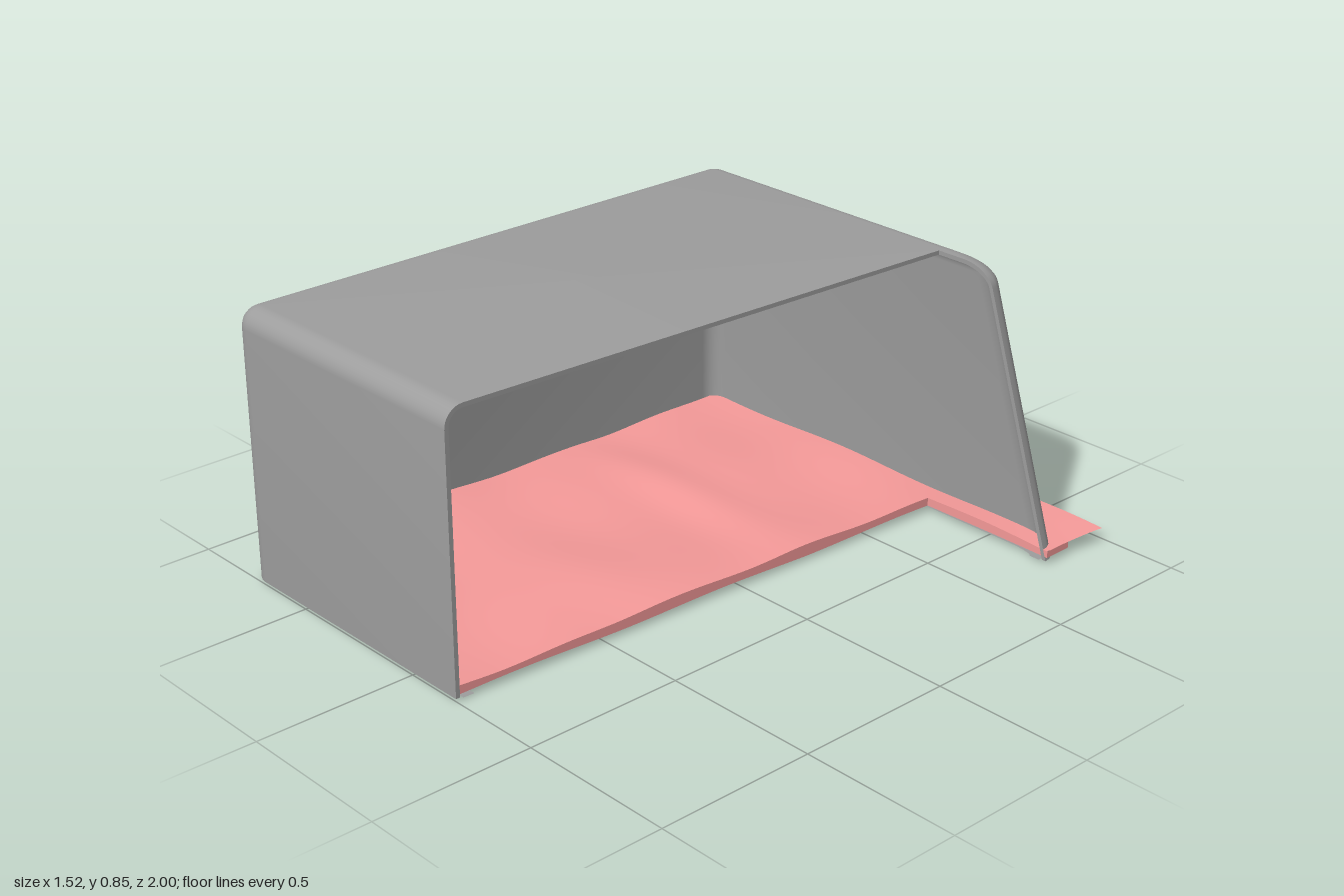
import * as THREE from 'three';
import { mergeGeometries, toCreasedNormals } from 'three/addons/utils/BufferGeometryUtils.js';

const TOP = 0.855, BASE = 0.015, ROUND = 0.06, WALL = 0.013;
const LEFT = -0.765, BACK = -0.83, FRONT = 1, CUT_Z = -0.75;
const mix = THREE.MathUtils.lerp;
// Slanted cut through the roof, front wall and floor
const cutX = z => 0.19 + 0.08 * (1 - z) / 1.75;
// Leaning end of the back wall
const slopeX = y => 0.735 - 0.327 * (y - BASE);

// Plan outline of the wall: front cut, round the left side, to the sloping end
function outline(y, inset, endX) {
  const pts = [], r = Math.max(0.004, 0.065 - inset), N = 6;
  const l = LEFT + inset, f = FRONT - inset, b = BACK + inset;
  const rx = 0.1, rz = CUT_Z - b;
  const arc = fn => {
    for (let i = 0; i <= N; i++) {
      const a = i / N * Math.PI / 2;
      pts.push(fn(Math.sin(a), Math.cos(a)));
    }
  };
  pts.push([cutX(f), f]);
  arc((s, c) => [l + r - r * s, f - r + r * c]);
  arc((s, c) => [l + r - r * c, b + r - r * s]);
  arc((s, c) => [endX - rx + rx * s, b + rz * (1 - c)]);
  return pts.map(([x, z]) => new THREE.Vector3(x, y, z));
}

// Stack of outlines from the base over the rounded top edge
function skinRings(t) {
  const rings = [outline(BASE, t, slopeX(BASE) - t)];
  for (let k = 0; k <= 8; k++) {
    const a = k / 8 * Math.PI / 2, c = 1 - Math.cos(a);
    const y = TOP - ROUND + (ROUND - t) * Math.sin(a);
    rings.push(outline(y, t + (ROUND - t) * c, slopeX(y) - t - 0.09 * c));
  }
  return rings;
}

const fromTriangles = tris => new THREE.BufferGeometry().setFromPoints(tris);

// Quad strips between successive rows of points
function loft(rows, flip = false) {
  const t = [];
  for (let j = 0; j + 1 < rows.length; j++)
    for (let i = 0; i + 1 < rows[j].length; i++) {
      const a = rows[j][i], b = rows[j][i + 1], c = rows[j + 1][i + 1], d = rows[j + 1][i];
      if (flip) t.push(a, b, c, a, c, d);
      else t.push(a, c, b, a, d, c);
    }
  return fromTriangles(t);
}

// Flat L-shaped roof closing a stack of outlines
function roof(ring, up) {
  const pts = [...ring, new THREE.Vector3(cutX(CUT_Z), ring[0].y, CUT_Z)];
  const t = [];
  for (const f of THREE.ShapeUtils.triangulateShape(pts.map(p => new THREE.Vector2(p.x, p.z)), [])) {
    const [a, b, c] = f.map(i => pts[i]);
    const n = b.clone().sub(a).cross(c.clone().sub(a)).y;
    if ((n > 0) === up) t.push(a, b, c); else t.push(a, c, b);
  }
  return fromTriangles(t);
}

// Edge of the open side, in one loop
function openEdge(rings) {
  const top = rings[rings.length - 1];
  return [...rings[0], ...rings.slice(1).map(r => r[r.length - 1]),
    new THREE.Vector3(cutX(CUT_Z), top[0].y, CUT_Z),
    ...rings.map(r => r[0]).reverse()];
}

// Grid surface from a function of u and v
function grid(nu, nv, fn) {
  const rows = [];
  for (let j = 0; j <= nv; j++) {
    const row = [];
    for (let i = 0; i <= nu; i++) row.push(fn(i / nu, j / nv));
    rows.push(row);
  }
  return loft(rows);
}

function addMesh(group, name, parts, color) {
  const geo = toCreasedNormals(mergeGeometries(parts), 0.6);
  const mat = new THREE.MeshStandardMaterial({ color, side: THREE.DoubleSide });
  const mesh = new THREE.Mesh(geo, mat);
  mesh.name = name;
  group.add(mesh);
}

// Gentle folds of the floor covering
const fold = (z, at, width) => Math.exp(-(((z - at) / width) ** 2));
const upperY = (x, z) => 0.053
  + fold(z, 0.33, 0.16) * (0.009 + 0.009 * Math.sin(6 * x + 2))
  + fold(z, -0.23, 0.1) * (0.009 + 0.009 * Math.sin(5 * x + 3))
  + 0.004 * Math.sin(9 * x + 4 * z) + 0.003 * Math.sin(14 * z - 4 * x);
const lowerY = (x, z) => 0.026 + 0.003 * Math.sin(9 * z + 4 * x)
  - 0.016 * fold(z, -0.25, 0.06) * fold(x, 0.1, 0.08);
// Covering's left edge, rounded at the front corner
const edgeX = z => {
  const r = 0.06, d = Math.max(0, z - (0.99 - r));
  return -0.745 + r - Math.sqrt(Math.max(0, r * r - d * d));
};
// Back edge of the lower layer, flaring at its two ends
const backZ = x => -0.818 - 0.032 * Math.abs(x / 0.745) ** 30;

export function createModel() {
  const group = new THREE.Group();

  // Thin-walled cover with rounded edges and one side cut away
  const outer = skinRings(0), inner = skinRings(WALL);
  addMesh(group, 'cutawayCover', [
    loft(outer), loft(inner, true),
    roof(outer[outer.length - 1], true), roof(inner[inner.length - 1], false),
    loft([openEdge(outer), openEdge(inner)], true),
  ], 0x9d9d9d);

  // Narrow lip under the floor, just inside the wall
  addMesh(group, 'bottomLip', [
    loft([0.024, 0.06].map(i => outline(0.011, i, slopeX(BASE) - i)), true),
  ], 0x9d9d9d);

  // Floor covering: main area, and rear strip running out under the back wall
  const main = h => (u, v) => {
    const z = mix(CUT_Z, 0.99, v), x = mix(edgeX(z), cutX(z), u);
    return new THREE.Vector3(x, h(x, z), z);
  };
  const overhang = (u, v) => {
    const x = mix(-0.745, 0.738 + 0.022 * (1 - v) ** 2, u);
    const z = mix(-1 + 0.024 * u * u, CUT_Z, v);
    return new THREE.Vector3(x, upperY(x, z), z);
  };
  const rearUnderside = (u, v) => {
    const x = mix(-0.745, 0.74, u), z = mix(backZ(x), CUT_Z, v);
    return new THREE.Vector3(x, lowerY(x, z), z);
  };
  // Vertical side joining upper and lower layers along a path
  const side = (n, path) => grid(n, 1, (u, v) => {
    const [x, z] = path(u);
    return new THREE.Vector3(x, v ? upperY(x, z) : lowerY(x, z), z);
  });
  addMesh(group, 'floorCovering', [
    grid(28, 80, main(upperY)), grid(48, 10, overhang),
    grid(28, 80, main(lowerY)), grid(48, 4, rearUnderside),
    side(80, u => { const z = mix(0.99, CUT_Z, u); return [cutX(z), z]; }),
    side(16, u => [mix(cutX(CUT_Z), 0.74, u), CUT_Z]),
    side(4, u => [0.74, mix(CUT_Z, backZ(0.74), u)]),
    side(48, u => { const x = mix(0.74, -0.745, u); return [x, backZ(x)]; }),
    side(80, u => { const z = mix(backZ(-0.745), 0.99, u); return [edgeX(z), z]; }),
  ], 0xf59a99);

  return group;
}
